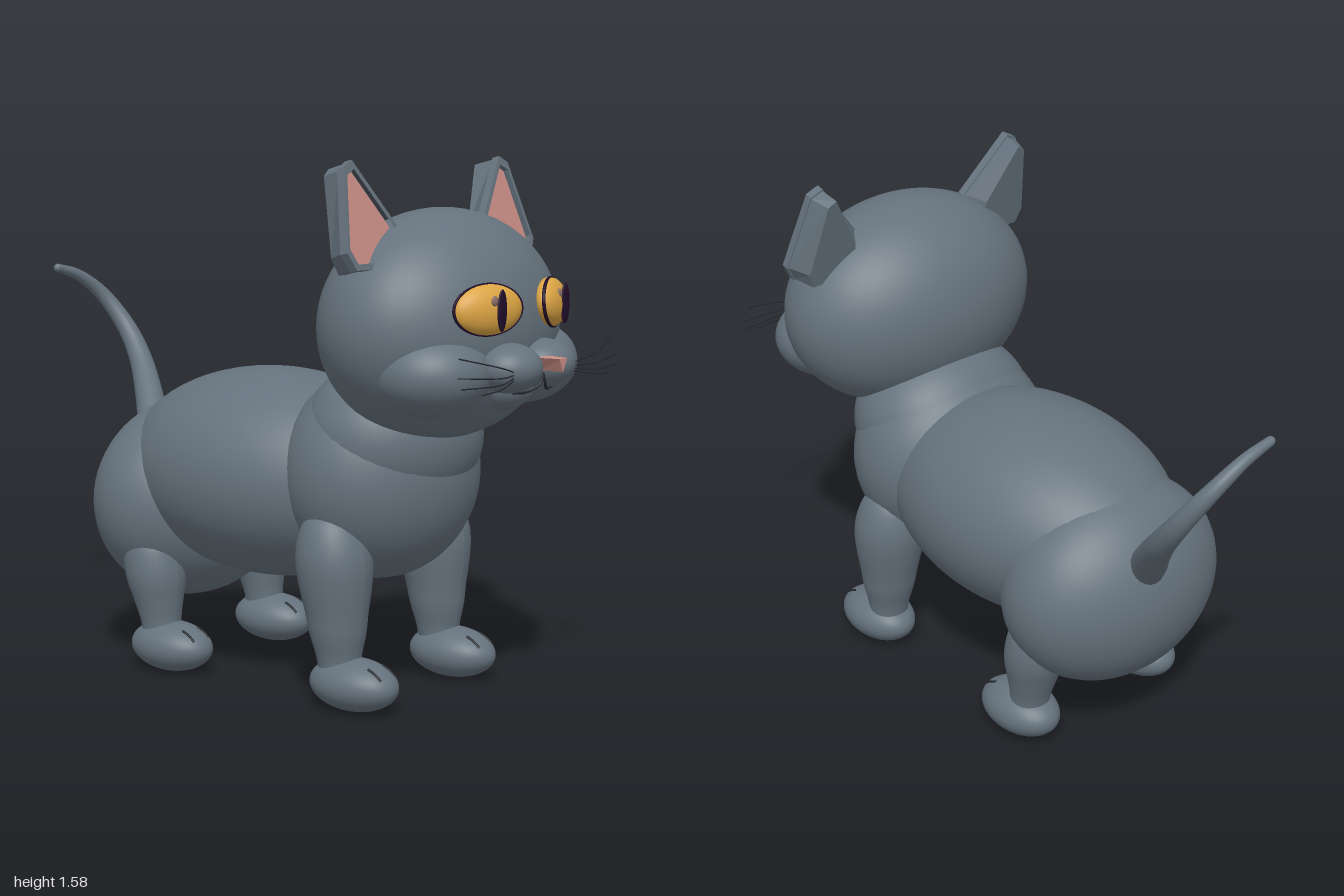
import * as THREE from 'three';

const mat = (name, color, side = THREE.FrontSide) => {
  const m = new THREE.MeshStandardMaterial({ color, side });
  m.name = name;
  return m;
};

export function createModel() {
  const fur = mat('slate fur', 0x65727d);
  const amber = mat('amber eye', 0xdba443);
  const pink = mat('pink skin', 0xcb8f86);
  const dark = mat('dark pupil', 0x210d2a);
  const glint = mat('eye glint', 0x8c7268);
  const line = mat('dark line', 0x24282d);

  const root = new THREE.Group();
  root.name = 'cat';

  const add = (name, geo, material, parent = root) => {
    const m = new THREE.Mesh(geo, material);
    m.name = name;
    parent.add(m);
    return m;
  };
  const blob = (name, [x, y, z], [rx, ry, rz], material = fur, parent = root) => {
    const g = new THREE.SphereGeometry(1, 48, 32).scale(rx, ry, rz);
    const m = add(name, g, material, parent);
    m.position.set(x, y, z);
    return m;
  };
  const curve = pts => new THREE.CatmullRomCurve3(pts.map(p => new THREE.Vector3(...p)));
  const thread = (name, pts, r, parent = root) =>
    add(name, new THREE.TubeGeometry(curve(pts), 12, r, 5), line, parent);

  // tube whose radius follows a function of its length
  const taperedTube = (name, pts, radiusAt) => {
    const path = curve(pts), n = 40, sides = 20;
    const g = new THREE.TubeGeometry(path, n, 1, sides);
    const p = g.attributes.position, v = new THREE.Vector3();
    for (let i = 0; i < p.count; i++) {
      const t = Math.floor(i / (sides + 1)) / n;
      const c = path.getPointAt(t);
      v.fromBufferAttribute(p, i).sub(c).multiplyScalar(radiusAt(t)).add(c);
      p.setXYZ(i, v.x, v.y, v.z);
    }
    g.computeVertexNormals();
    return add(name, g, fur);
  };

  // torso
  blob('belly', [0, 0.62, -0.03], [0.37, 0.32, 0.53]);
  blob('rump', [0, 0.505, -0.375], [0.37, 0.318, 0.266]);
  blob('chest', [0, 0.66, 0.37], [0.335, 0.318, 0.27]);
  blob('neck', [0, 0.77, 0.41], [0.3, 0.24, 0.25]);

  // head
  blob('head', [0, 1.11, 0.575], [0.43, 0.332, 0.3]);
  blob('chin', [0, 0.95, 0.8], [0.1, 0.07, 0.075]);

  // nose: a small downward wedge
  const noseShape = new THREE.Shape([[-0.034, 0.018], [0.034, 0.018], [0, -0.02]].map(p => new THREE.Vector2(...p)));
  const nose = add('nose', new THREE.ExtrudeGeometry(noseShape, { depth: 0.07, bevelEnabled: false }), pink);
  const np = nose.geometry.attributes.position;
  for (let i = 0; i < np.count; i++) if (np.getZ(i) > 0.05) np.setX(i, np.getX(i) * 0.6);
  nose.geometry.computeVertexNormals();
  nose.position.set(0, 1.02, 0.92);

  // ear outline, measured from the head's midline and the ear's base
  const earOutline = [[0.2, 0], [0.43, 0], [0.458, 0.05], [0.4, 0.285], [0.36, 0.305], [0.215, 0.12]];
  const earShape = (s, k) => new THREE.Shape(earOutline.map(([x, y]) =>
    new THREE.Vector2(s * (0.345 + (x - 0.345) * k), 0.12 + (y - 0.12) * k)));

  for (const s of [1, -1]) {
    const side = s > 0 ? 'left' : 'right';

    // cheek and muzzle pads
    blob(side + 'Cheek', [s * 0.22, 0.995, 0.7], [0.175, 0.125, 0.17]);
    blob(side + 'Muzzle', [s * 0.085, 1.01, 0.865], [0.1, 0.07, 0.095]);

    // eye with rim, slit pupil and glint
    const eye = new THREE.Group();
    eye.name = side + 'Eye';
    eye.position.set(s * 0.16, 1.175, 0.843);
    eye.rotation.set(-0.1, s * 0.36, 0);
    root.add(eye);
    blob('iris', [0, 0, 0], [0.113, 0.071, 0.045], amber, eye);
    const rim = add('eyeRim', new THREE.TorusGeometry(1, 0.035, 8, 48).scale(0.113, 0.071, 0.15), dark, eye);
    rim.position.z = 0.006;
    blob('pupil', [s * 0.16, 1.175, 0.893], [0.021, 0.058, 0.007], dark);
    blob('glint', [s * 0.162 - 0.028, 1.203, 0.889], [0.014, 0.014, 0.006], glint);

    // ear: hollow rim, pink lining, tapered back
    const ear = new THREE.Group();
    ear.name = side + 'Ear';
    ear.position.set(0, 1.285, 0.605);
    ear.rotation.x = -0.25;
    root.add(ear);
    const frame = earShape(s, 1);
    frame.holes.push(earShape(s, 0.86));
    add('earRim', new THREE.ExtrudeGeometry(frame, { depth: 0.025, bevelEnabled: false }), fur, ear).position.z = -0.025;
    add('earLining', new THREE.ExtrudeGeometry(earShape(s, 0.88), { depth: 0.006, bevelEnabled: false }), pink, ear).position.z = -0.022;
    const back = new THREE.ExtrudeGeometry(earShape(s, 0.97), { depth: 0.065, bevelEnabled: false });
    const bp = back.attributes.position;
    for (let i = 0; i < bp.count; i++) {
      if (bp.getZ(i) < 0.01) bp.setX(i, s * 0.345 + (bp.getX(i) - s * 0.345) * 0.68);
    }
    back.computeVertexNormals();
    add('earBack', back, fur, ear).position.z = -0.088;

    // mouth line and whiskers
    thread(side + 'Mouth', [[0, 0.995, 0.925], [s * 0.012, 0.965, 0.925], [s * 0.05, 0.943, 0.905], [s * 0.1, 0.943, 0.89]], 0.004);
    [[0.39, 1.065, 0.91], [0.41, 1.015, 0.92], [0.4, 0.985, 0.925], [0.33, 0.965, 0.945]].forEach(([x, y, z], i) => {
      const y0 = 1.006 - i * 0.006;
      thread(side + 'Whisker', [[s * 0.14, y0, 0.925], [s * 0.24, (y0 + y) / 2 - 0.006, 0.946], [s * x, y, z]], 0.002);
    });

    // legs, paws and toe lines
    const legs = [
      ['Front', 0.375, 0.46, [[0, 0.59], [0.05, 0.575], [0.085, 0.54], [0.107, 0.48], [0.113, 0.42], [0.105, 0.35], [0.092, 0.28], [0.083, 0.22], [0.066, 0.15], [0.06, 0.08]], 0.03],
      ['Hind', -0.34, -0.25, [[0, 0.46], [0.05, 0.445], [0.083, 0.4], [0.094, 0.34], [0.092, 0.28], [0.078, 0.22], [0.063, 0.15], [0.06, 0.08]], 0.045],
    ];
    for (const [end, z, pawZ, profile, shift] of legs) {
      const smooth = new THREE.SplineCurve(profile.map(p => new THREE.Vector2(...p)).reverse()).getPoints(30);
      smooth.forEach(p => { p.x = Math.max(p.x, 0); });
      const g = new THREE.LatheGeometry(smooth, 32);
      const top = profile[0][1], p = g.attributes.position;
      for (let i = 0; i < p.count; i++) p.setZ(i, p.getZ(i) + shift * (top - p.getY(i)) / (top - 0.15));
      g.computeVertexNormals();
      add(side + end + 'Leg', g, fur).position.set(s * 0.247, 0, z);
      blob(side + end + 'Paw', [s * 0.247, 0.078, pawZ], [0.098, 0.077, 0.145]);
      for (const dx of [-0.033, 0.033]) {
        const at = dz => [s * 0.247 + dx, 0.079 + 0.077 * Math.sqrt(1 - (dx / 0.098) ** 2 - (dz / 0.145) ** 2), pawZ + dz];
        thread('toeLine', [at(0.075), at(0.1), at(0.122)], 0.004);
      }
    }
  }

  // tail curling up and across, with a rounded tip
  taperedTube('tail', [[0.03, 0.6, -0.54], [0.07, 0.68, -0.61], [0.14, 0.78, -0.7], [0.205, 0.89, -0.8], [0.222, 0.99, -0.88],
    [0.18, 1.1, -0.95], [0.09, 1.17, -0.975], [0, 1.198, -0.98]], t => 0.06 - 0.046 * t);
  blob('tailTip', [0, 1.198, -0.98], [0.014, 0.014, 0.014]);

  return root;
}
